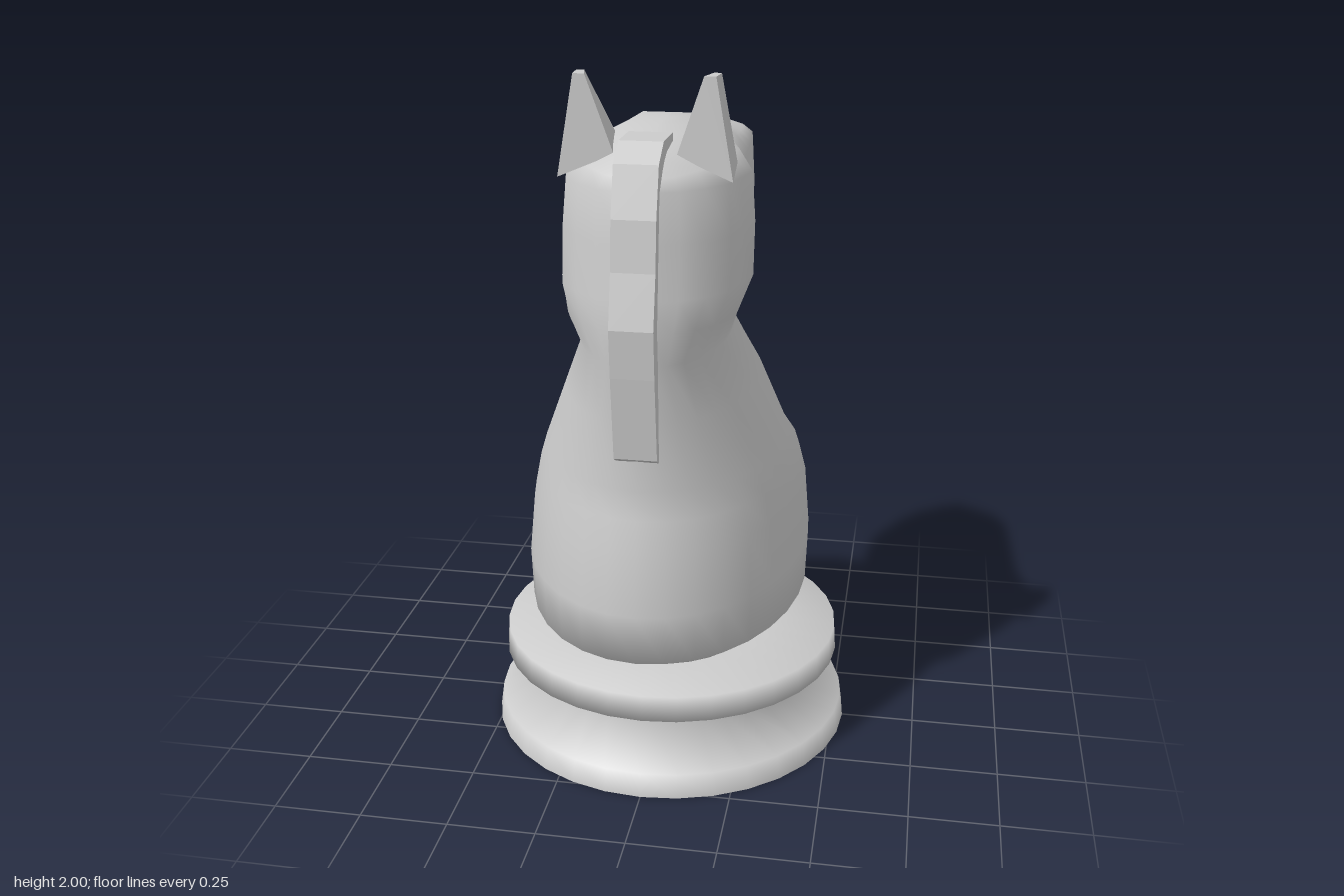
import * as THREE from 'three';

const material = new THREE.MeshStandardMaterial({ color: 0xcccccc });
const SEGMENTS = 32;

// Piecewise linear lookup in a list of [key, value] pairs with rising keys
function sample(table, t) {
  if (t <= table[0][0]) return table[0][1];
  for (let i = 1; i < table.length; i++) {
    const [k0, v0] = table[i - 1], [k1, v1] = table[i];
    if (t <= k1) return v0 + (v1 - v0) * (t - k0) / (k1 - k0);
  }
  return table[table.length - 1][1];
}

// Skin closed rings of points, listed from bottom to top
function loft(rings) {
  const n = rings[0].length, index = [];
  for (let i = 0; i < rings.length - 1; i++) {
    for (let j = 0; j < n; j++) {
      const a = i * n + j, b = i * n + (j + 1) % n;
      index.push(a, b, a + n, b, b + n, a + n);
    }
  }
  const geometry = new THREE.BufferGeometry();
  geometry.setAttribute('position', new THREE.Float32BufferAttribute(rings.flat(2), 3));
  geometry.setIndex(index);
  geometry.computeVertexNormals();
  return geometry;
}

function addMesh(parent, name, geometry, mat = material) {
  const mesh = new THREE.Mesh(geometry, mat);
  mesh.name = name;
  parent.add(mesh);
  return mesh;
}

// Relative half width of the head from nape (0) to nose (1)
const headOutline = [[0, 0], [0.05, 0.54], [0.15, 0.85], [0.31, 1], [0.42, 0.84],
  [0.65, 0.79], [0.84, 0.74], [0.93, 0.55], [1, 0]];
// Height of the crown and muzzle along z
const crown = [[-0.54, 1.73], [-0.33, 1.787], [-0.15, 1.8], [0, 1.845], [0.2, 1.84],
  [0.42, 1.81], [0.54, 1.77]];

// One section: back and front z, half width, blend from ellipse to head outline,
// and lift from the level y towards the crown
function section([y, back, front, width, head = 0, lift = 0]) {
  return Array.from({ length: SEGMENTS }, (_, j) => {
    const angle = j / SEGMENTS * Math.PI * 2, s = Math.sin(angle);
    const u = (1 - Math.cos(angle)) / 2;
    const z = back + (front - back) * u;
    const shape = Math.abs(s) * (1 - head) + sample(headOutline, u) * head;
    return [Math.sign(s) * shape * width, y + lift * (sample(crown, z) - y), z];
  });
}

function makeBody() {
  return loft([
    [0.32, 0.34, -0.35, 0.28],
    [0.34, 0.37, -0.38, 0.30],
    [0.46, 0.59, -0.60, 0.405],
    [0.60, 0.595, -0.603, 0.41],
    [0.77, 0.57, -0.585, 0.395],
    [0.86, 0.55, -0.53, 0.375],
    [0.94, 0.535, -0.41, 0.345],
    [1.13, 0.545, -0.33, 0.27],
    [1.29, 0.56, -0.19, 0.205, 0.1],
    [1.38, 0.57, -0.23, 0.235, 0.7],
    [1.46, 0.565, -0.50, 0.26, 1],
    [1.60, 0.55, -0.54, 0.26, 1],
    [1.73, 0.535, -0.54, 0.25, 1],
    [1.73, 0.51, -0.525, 0.212, 1, 0.5],
    [1.73, 0.48, -0.50, 0.10, 1, 1],
    [1.73, 0.47, -0.49, 0, 1, 1],
  ].map(section));
}

function makeBase() {
  const base = new THREE.Group();
  base.name = 'base';
  const profile = [[0.535, 0], [0.525, 0.07], [0.355, 0.145], [0.505, 0.23],
    [0.5, 0.305], [0.28, 0.33], [0, 0.33]].map(([r, y]) => new THREE.Vector2(r, y));
  addMesh(base, 'turnedFoot', new THREE.LatheGeometry(profile, SEGMENTS));
  addMesh(base, 'underside', new THREE.CircleGeometry(0.535, SEGMENTS).rotateX(Math.PI / 2));
  return base;
}

// Tapered ear with a short upright back edge
function makeEar(side) {
  const foot = [[0.08, 1.80, 0.40], [0.225, 1.74, 0.41], [0.215, 1.76, 0.25], [0.11, 1.82, 0.22]];
  const tip = [[0.15, 2, 0.41], [0.18, 2, 0.41], [0.185, 2, 0.345], [0.165, 2, 0.34]];
  const centre = Array.from({ length: 4 }, () => [0.17, 2, 0.375]);
  const rings = [foot, tip, centre].map(ring => {
    const points = ring.map(([x, y, z]) => [x * side, y, z]);
    return side < 0 ? points.reverse() : points;
  });
  return loft(rings).toNonIndexed();
}

// Strip running from the crown down the back of the neck
function makeMane() {
  const width = 0.114;
  const shape = new THREE.Shape([[0.32, 1.845], [0.45, 1.845], [0.52, 1.80], [0.558, 1.67],
    [0.572, 1.54], [0.605, 1.40], [0.592, 1.27], [0.56, 1.04], [0.535, 1.025], [0.51, 1.04],
    [0.52, 1.40], [0.48, 1.74], [0.32, 1.79]].map(([z, y]) => new THREE.Vector2(z, y)));
  return new THREE.ExtrudeGeometry(shape, { depth: width, bevelEnabled: false })
    .translate(0, 0, -width / 2).rotateY(-Math.PI / 2);
}

export function createModel() {
  const model = new THREE.Group();
  model.name = 'horsePiece';
  model.add(makeBase());
  addMesh(model, 'bodyAndHead', makeBody());
  addMesh(model, 'mane', makeMane());
  for (const side of [1, -1]) {
    const ear = makeEar(side);
    ear.computeVertexNormals();
    addMesh(model, side > 0 ? 'leftEar' : 'rightEar', ear);
  }
  return model;
}
